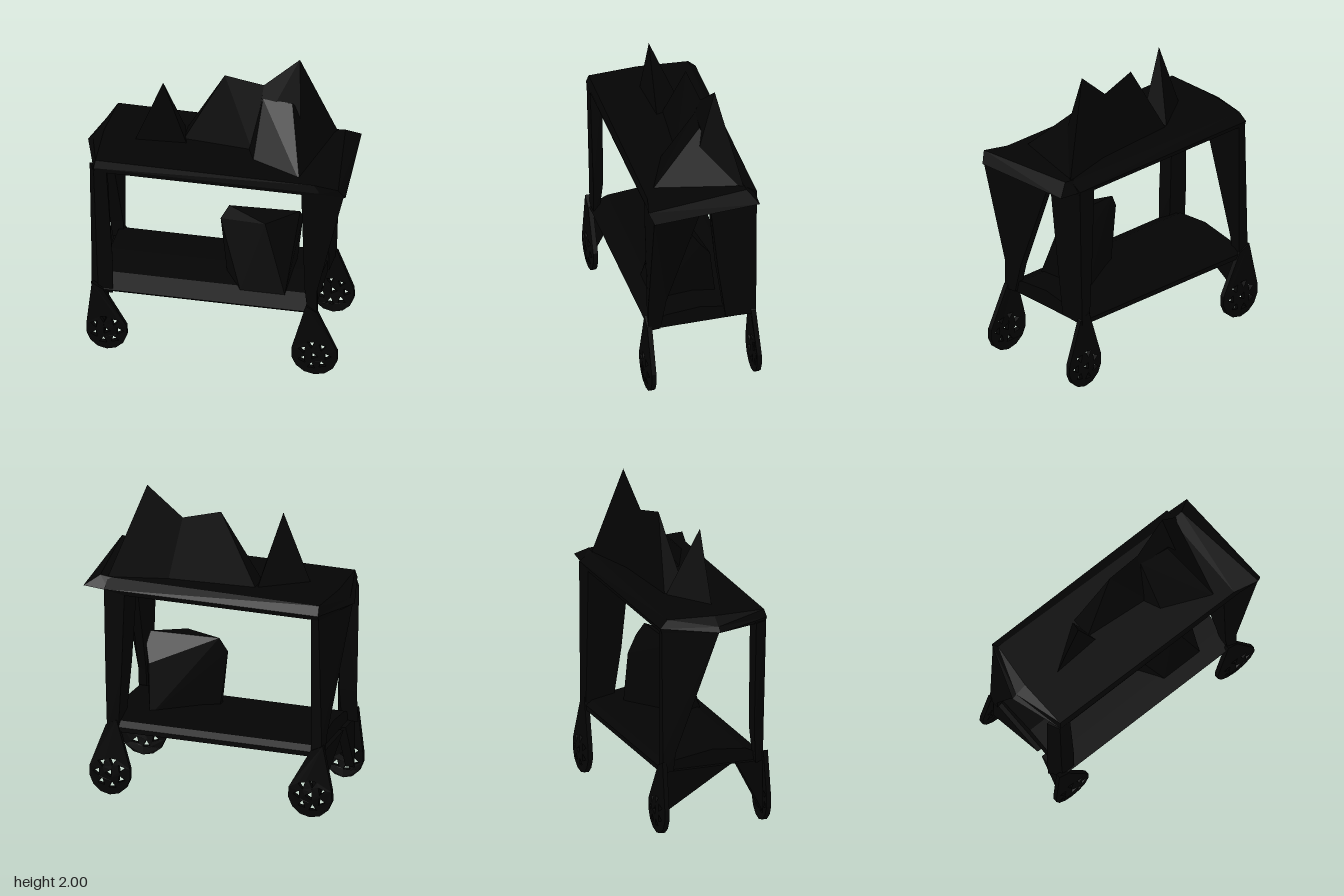
import * as THREE from 'three';
import { ConvexGeometry } from 'three/addons/geometries/ConvexGeometry.js';

const material = new THREE.MeshStandardMaterial({ color: 0x040404, flatShading: true });

export function createModel() {
  const model = new THREE.Group();

  function add(name, geometry) {
    const mesh = new THREE.Mesh(geometry, material);
    mesh.name = name;
    model.add(mesh);
  }

  // Faceted solid around a few corner points
  const hull = (name, points) =>
    add(name, new ConvexGeometry(points.map((p) => new THREE.Vector3(...p))));

  // Faceted solids stacked between level outlines: [y, [[x, z], ...]]
  function stack(name, levels) {
    const at = ([y, outline]) => outline.map(([x, z]) => [x, y, z]);
    for (let i = 0; i + 1 < levels.length; i++) {
      hull(name, [...at(levels[i]), ...at(levels[i + 1])]);
    }
  }

  // Roof slab with a pointed right end and a thin flared left end
  stack('roof', [
    [1.33, [[-0.72, -0.34], [-0.84, 0], [-0.78, 0.18], [-0.73, 0.34], [0.67, 0.34], [0.67, -0.34]]],
    [1.36, [[-0.72, -0.35], [-0.81, 0], [-0.77, 0.18], [-0.74, 0.345], [0.67, 0.35], [0.67, -0.35]]],
    [1.41, [[-0.71, -0.3], [-0.74, 0], [-0.73, 0.33], [0.67, 0.34], [0.67, -0.27]]],
  ]);
  hull('roofFlare', [
    [0.64, 1.34, 0.34], [0.64, 1.35, -0.34], [0.81, 1.36, -0.33],
    [0.84, 1.35, 0.35], [0.8, 1.42, 0.38], [0.72, 1.42, -0.27], [0.64, 1.41, 0.34], [0.64, 1.41, -0.27],
  ]);

  // Jagged peaks along the roof
  const b = 1.39;
  hull('smallPeak', [[-0.54, b, 0.06], [-0.21, b, 0.04], [-0.25, b, -0.14], [-0.36, 1.85, 0.05]]);
  hull('middlePeak', [
    [-0.25, b, -0.14], [-0.25, b, 0.0], [0.2, b, 0.04], [0.34, b, -0.18],
    [0, 1.86, -0.085], [0.24, 1.8, -0.11],
  ]);
  hull('tallPeak', [
    [0.17, b, 0.03], [0.5, b, 0.03], [0.68, b, -0.27], [0.24, b, -0.16],
    [0.24, 1.8, -0.11], [0.46, 2, -0.14],
  ]);
  hull('peakButtress', [
    [0.17, b, 0.04], [0.22, b, 0.15], [0.54, b, 0.29], [0.67, b, -0.25],
    [0.24, 1.72, -0.08], [0.43, 1.73, -0.05],
  ]);

  // Corner posts, each with its own taper from roof to deck
  stack('frontLeftPost', [
    [1.36, [[0.56, 0.34], [0.83, 0.35], [0.57, -0.04], [0.62, -0.05]]],
    [0.62, [[0.58, 0.33], [0.66, 0.34], [0.59, 0.22], [0.64, 0.22]]],
    [0.43, [[0.6, 0.33], [0.66, 0.34], [0.6, 0.26], [0.65, 0.26]]],
  ]);
  stack('backLeftPost', [
    [1.36, [[0.54, -0.34], [0.67, -0.35], [0.55, -0.06], [0.65, -0.05]]],
    [0.8, [[0.56, -0.34], [0.66, -0.35], [0.57, -0.11], [0.64, -0.11]]],
    [0.43, [[0.58, -0.34], [0.65, -0.35], [0.59, -0.16], [0.64, -0.16]]],
  ]);
  stack('frontRightPost', [
    [1.34, [[-0.74, 0.34], [-0.66, 0.34], [-0.78, 0.26], [-0.67, 0.26]]],
    [0.64, [[-0.72, 0.33], [-0.62, 0.33], [-0.77, 0.25], [-0.65, 0.26]]],
    [0.43, [[-0.71, 0.33], [-0.62, 0.33], [-0.77, 0.26], [-0.66, 0.28]]],
  ]);
  stack('backRightPost', [
    [1.34, [[-0.67, -0.34], [-0.72, -0.34], [-0.83, 0.0], [-0.7, 0.03]]],
    [0.55, [[-0.67, -0.34], [-0.74, -0.34], [-0.75, -0.26], [-0.67, -0.26]]],
    [0.43, [[-0.67, -0.34], [-0.74, -0.34], [-0.74, -0.27], [-0.67, -0.28]]],
  ]);

  // Deck with a thin front edge and a gently crowned top
  const deckSection = [[0.3, 0.42], [0.34, 0.455], [0.22, 0.51], [0, 0.53], [-0.3, 0.48], [-0.34, 0.45], [-0.34, 0.42]];
  hull('deck', [-0.7, 0.63].flatMap((x) => deckSection.map(([z, y]) => [x, y, z])));

  // Leaning load on the deck, thin at its right edge
  hull('load', [
    [0.05, 0.5, 0.09], [0.05, 0.5, 0.04], [0.16, 0.5, 0.25], [0.44, 0.5, 0.25], [0.44, 0.47, -0.15],
    [0, 0.88, 0.05], [0.05, 0.97, 0.03], [0.3, 0.95, 0.16], [0.49, 0.97, 0.01],
    [0.5, 0.9, -0.04], [0.46, 0.8, -0.11],
  ]);

  // Teardrop legs with narrow necks, ending in pierced, many-sided wheels
  function leg(name, [cx, cy, radius], top, side) {
    const shape = new THREE.Shape();
    shape.moveTo(top[0], 0.5);
    for (let i = 0; i <= 8; i++) {
      const a = Math.PI * (0.92 + i * 0.145);
      shape.lineTo(cx + radius * Math.cos(a), cy + 0.147 * Math.sin(a));
    }
    shape.lineTo(top[1], 0.46);
    for (let i = 0; i < 8; i++) {
      const a = i * Math.PI * 2 / 7;
      const r = i < 7 ? 0.082 : 0;
      const hole = new THREE.Path();
      for (let k = 0; k < 3; k++) {
        const t = -a * 2 - k * Math.PI * 2 / 3;
        const x = cx + r * Math.cos(a) + 0.028 * Math.cos(t);
        const y = cy + r * Math.sin(a) + 0.028 * Math.sin(t);
        if (k) hole.lineTo(x, y); else hole.moveTo(x, y);
      }
      hole.closePath();
      shape.holes.push(hole);
    }
    const geometry = new THREE.ExtrudeGeometry(shape, { depth: 0.03, bevelEnabled: false });
    // Dish the wheel outwards at the hub and splay the leg towards it
    const p = geometry.attributes.position;
    for (let i = 0; i < p.count; i++) {
      const fromHub = Math.hypot(p.getX(i) - cx, p.getY(i) - cy);
      p.setZ(i, p.getZ(i) - 0.015 + side * (0.36 - 0.14 * Math.min(0.2, fromHub)));
    }
    geometry.computeVertexNormals();
    add(name, geometry);
  }
  leg('frontRightLeg', [-0.655, 0.17, 0.13], [-0.75, -0.68], 1);
  leg('backRightLeg', [-0.67, 0.17, 0.145], [-0.75, -0.67], -1);
  leg('frontLeftLeg', [0.645, 0.15, 0.147], [0.59, 0.66], 1);
  leg('backLeftLeg', [0.63, 0.15, 0.135], [0.59, 0.66], -1);

  // Triangular braces under the right end of the deck
  for (const [inner, low, z] of [[0.15, 0.1, 0.32], [0.11, 0.17, -0.32]]) {
    hull('legBrace', [-0.73, -0.67].flatMap((x) => [[x, 0.43, inner], [x, 0.43, z], [x, low, z]]));
  }

  return model;
}
